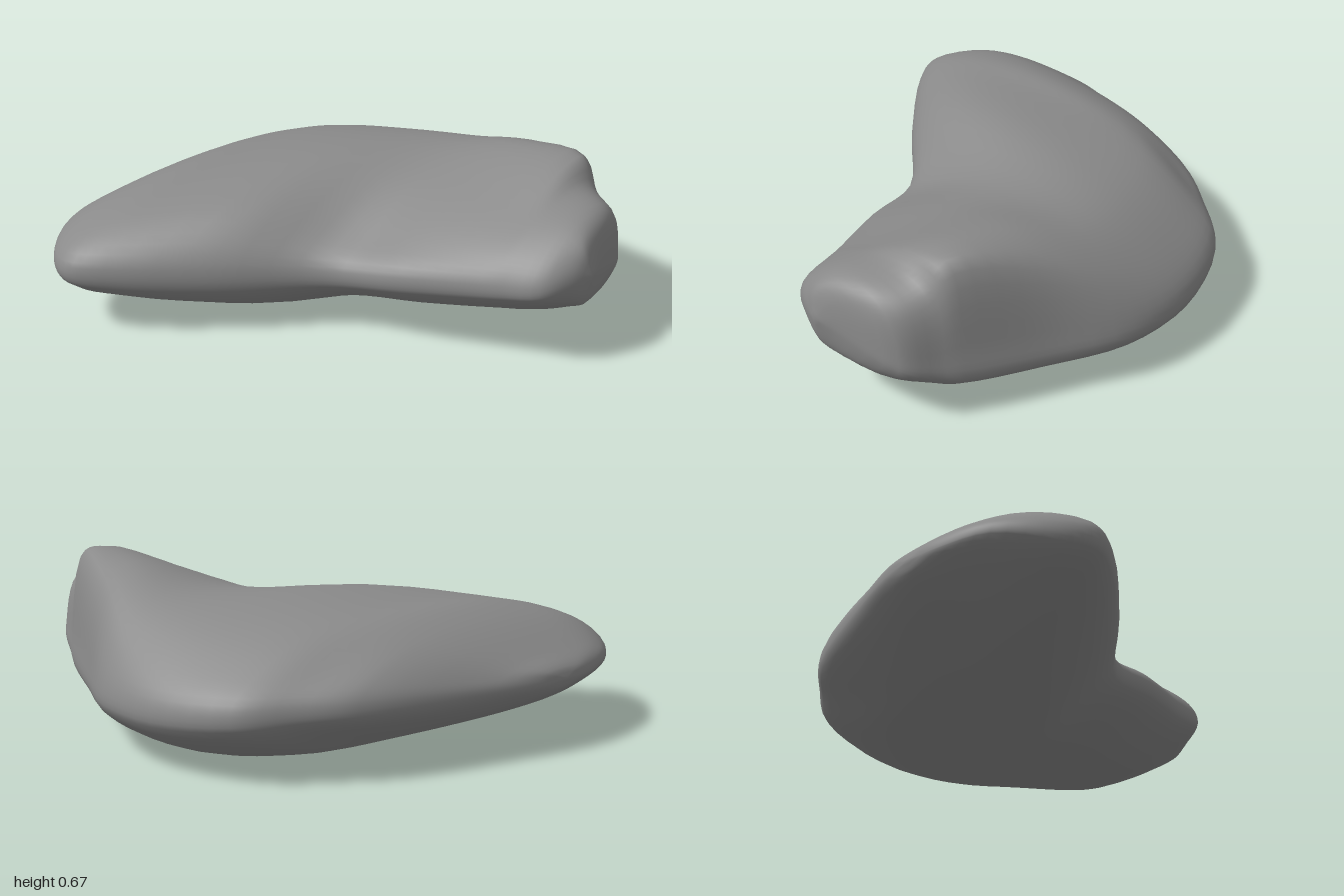
import * as THREE from 'three';
import { mergeVertices } from 'three/addons/utils/BufferGeometryUtils.js';

// Cross-sections from back to front:
// z, left x, right x, left edge y, right edge y, four heights on top, three underneath
const SECTIONS = [
  [-0.985, -0.54, -0.24, 0.28, 0.28, 0.31, 0.32, 0.32, 0.31, 0.25, 0.24, 0.25],
  [-0.92, -0.73, 0.01, 0.29, 0.28, 0.35, 0.37, 0.36, 0.33, 0.21, 0.19, 0.21],
  [-0.77, -0.9, 0.47, 0.27, 0.28, 0.41, 0.47, 0.45, 0.38, 0.13, 0.12, 0.16],
  [-0.64, -0.945, 0.66, 0.27, 0.27, 0.43, 0.52, 0.5, 0.39, 0.08, 0.07, 0.11],
  [-0.5, -0.87, 0.82, 0.27, 0.25, 0.45, 0.535, 0.52, 0.4, 0.04, 0.04, 0.06],
  [-0.2, -0.59, 0.93, 0.26, 0.23, 0.47, 0.57, 0.54, 0.41, 0.01, 0.03, 0.02],
  [0.1, -0.28, 0.92, 0.25, 0.23, 0.39, 0.54, 0.57, 0.45, 0.06, 0.04, 0.04],
  [0.4, -0.18, 0.78, 0.29, 0.23, 0.42, 0.55, 0.65, 0.58, 0.11, 0.07, 0.07],
  [0.69, -0.06, 0.65, 0.32, 0.25, 0.45, 0.56, 0.66, 0.65, 0.17, 0.12, 0.11],
  [0.77, -0.03, 0.61, 0.33, 0.26, 0.46, 0.56, 0.59, 0.54, 0.19, 0.14, 0.14],
  [0.9, 0.02, 0.54, 0.35, 0.31, 0.46, 0.55, 0.55, 0.49, 0.24, 0.2, 0.21],
  [0.97, 0.12, 0.3, 0.38, 0.37, 0.44, 0.49, 0.47, 0.43, 0.29, 0.26, 0.29],
];
const TOP = [0.12, 0.4, 0.75, 0.92]; // fractions of the width
const BOTTOM = [0.25, 0.52, 0.8];
const BLUNT = 0.13; // half height of the blunt edges, as a share of the thickness

// Closed ring: left edge, over the top, right edge, back underneath
function ring([z, xl, xr, yl, yr, ...h]) {
  const at = (t, y) => new THREE.Vector3(xl + (xr - xl) * t, y, z);
  const left = BLUNT * (h[0] - h[4]), right = BLUNT * (h[3] - h[6]);
  return [
    at(0, yl - left), at(0, yl + left),
    ...TOP.map((t, i) => at(t, h[i])),
    at(1, yr + right), at(1, yr - right),
    ...BOTTOM.map((t, i) => at(t, h[4 + i])).reverse(),
  ];
}

function rockGeometry(steps = 52, around = 54) {
  const rings = SECTIONS.map(ring);
  const pole = (x, y, z) => rings[0].map(() => new THREE.Vector3(x, y, z));
  rings.unshift(pole(-0.39, 0.28, -1));
  rings.push(pole(0.21, 0.385, 1));

  // Lengthwise rails, then a smooth closed curve across them at every step
  const rails = rings[0].map((_, j) => new THREE.CatmullRomCurve3(rings.map((r) => r[j])));
  const positions = [], index = [];
  for (let i = 0; i <= steps; i++) {
    const section = rails.map((rail) => rail.getPoint(i / steps));
    const isPole = i === 0 || i === steps;
    const loop = new THREE.CatmullRomCurve3(section, true);
    for (let j = 0; j < around; j++) {
      const p = isPole ? section[0] : loop.getPoint(j / around);
      positions.push(p.x, Math.max(p.y, 0), p.z);
      if (i === steps) continue;
      const a = i * around + j, b = i * around + (j + 1) % around;
      const c = a + around, d = b + around;
      if (i < steps - 1) index.push(c, d, b);
      if (i > 0) index.push(a, c, b);
    }
  }
  const geometry = new THREE.BufferGeometry();
  geometry.setAttribute('position', new THREE.Float32BufferAttribute(positions, 3));
  geometry.setIndex(index);
  const merged = mergeVertices(geometry, 1e-5);
  merged.computeVertexNormals();
  return merged;
}

export function createModel() {
  const group = new THREE.Group();
  group.name = 'bentRock';
  const rock = new THREE.Mesh(rockGeometry(), new THREE.MeshStandardMaterial({ color: 0x8a8a8a }));
  rock.name = 'rock';
  group.add(rock);
  return group;
}
